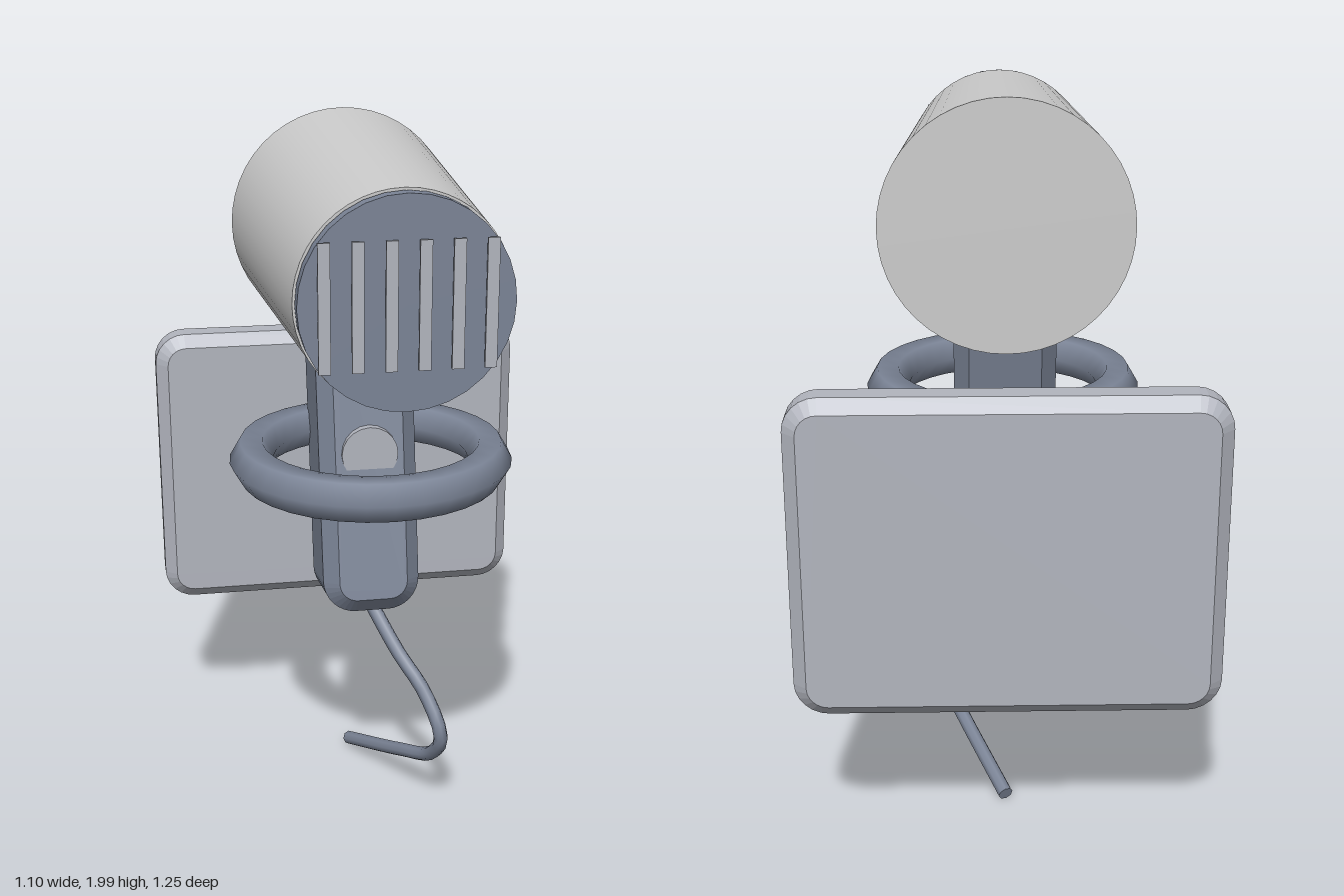
import * as THREE from 'three';

const shell = new THREE.MeshStandardMaterial({ color: 0xcccccc });
const pale = new THREE.MeshStandardMaterial({ color: 0xb2b5be });
const dark = new THREE.MeshStandardMaterial({ color: 0x7b8496 });

// Rounded slab centred on the origin, chamfered front and back; sizes are overall
function slab(w, h, d, radius, bevel, bevelDepth, curveSegments) {
  const x = w / 2 - bevel, y = h / 2 - bevel, r = radius - bevel;
  const s = new THREE.Shape();
  s.moveTo(-x + r, -y);
  s.lineTo(x - r, -y);
  s.absarc(x - r, -y + r, r, -Math.PI / 2, 0);
  s.lineTo(x, y - r);
  s.absarc(x - r, y - r, r, 0, Math.PI / 2);
  s.lineTo(-x + r, y);
  s.absarc(-x + r, y - r, r, Math.PI / 2, Math.PI);
  s.lineTo(-x, -y + r);
  s.absarc(-x + r, -y + r, r, Math.PI, Math.PI * 1.5);
  const geometry = new THREE.ExtrudeGeometry(s, {
    depth: d - 2 * bevelDepth, curveSegments,
    bevelEnabled: true, bevelSegments: 1, bevelSize: bevel, bevelThickness: bevelDepth,
  });
  return geometry.translate(0, 0, -d / 2 + bevelDepth);
}

// Cylinder along z from zBack to zFront
function barrel(rFront, rBack, zBack, zFront, segments) {
  return new THREE.CylinderGeometry(rFront, rBack, zFront - zBack, segments)
    .rotateX(Math.PI / 2)
    .translate(0, 0, (zFront + zBack) / 2);
}

export function createModel() {
  const model = new THREE.Group();
  const add = (name, geometry, material, x = 0, y = 0, z = 0) => {
    const mesh = new THREE.Mesh(geometry, material);
    mesh.name = name;
    mesh.position.set(x, y, z);
    model.add(mesh);
    return mesh;
  };

  // Tapered housing and the outlet disc in front of it
  const axisY = 1.68;
  add('housing', barrel(0.265, 0.32, -0.38, 0.564, 48), shell, 0, axisY);
  add('outletDisc', barrel(0.26, 0.26, 0.57, 0.608, 32), dark, 0, axisY);

  // Upright grille slats
  for (let i = 0; i < 6; i++) {
    add('grilleSlat', new THREE.BoxGeometry(0.029, 0.31, 0.008), pale, -0.198 + i * 0.0792, axisY, 0.62);
  }

  // Handle leaning back towards the housing
  const tilt = 0.196;
  const along = 1.07, across = 0.155;
  const handle = add('handle', slab(0.27, 0.86, 0.3, 0.09, 0.04, 0.045, 4), dark,
    0,
    along * Math.cos(tilt) + across * Math.sin(tilt),
    across * Math.cos(tilt) - along * Math.sin(tilt));
  handle.rotation.x = -tilt;

  // Wall mount: plate, peg and holding ring
  add('wallPlate', slab(1.1, 0.86, 0.13, 0.09, 0.035, 0.032, 3), pale, 0, 0.89, -0.56);
  add('mountPeg', barrel(0.078, 0.078, -0.455, 0.095, 20), pale, 0, 1.13);
  add('holderRing', new THREE.TorusGeometry(0.325, 0.06, 6, 32).rotateX(Math.PI / 2), dark, 0, 1.128, 0.1);

  // Hanging power cord with closed ends
  const path = new THREE.CatmullRomCurve3([
    [0, 0.67, -0.07], [0.09, 0.5, 0.05], [0.155, 0.4, 0.122], [0.195, 0.28, 0.175],
    [0.18, 0.185, 0.105], [0.12, 0.125, -0.03], [0, 0.025, -0.3],
  ].map((p) => new THREE.Vector3(...p)));
  const radius = 0.021;
  add('cord', new THREE.TubeGeometry(path, 28, radius, 8), dark);
  const tip = add('cordTip', new THREE.CircleGeometry(radius, 8), dark, ...path.getPoint(1).toArray());
  tip.quaternion.setFromUnitVectors(new THREE.Vector3(0, 0, 1), path.getTangent(1));

  return model;
}
